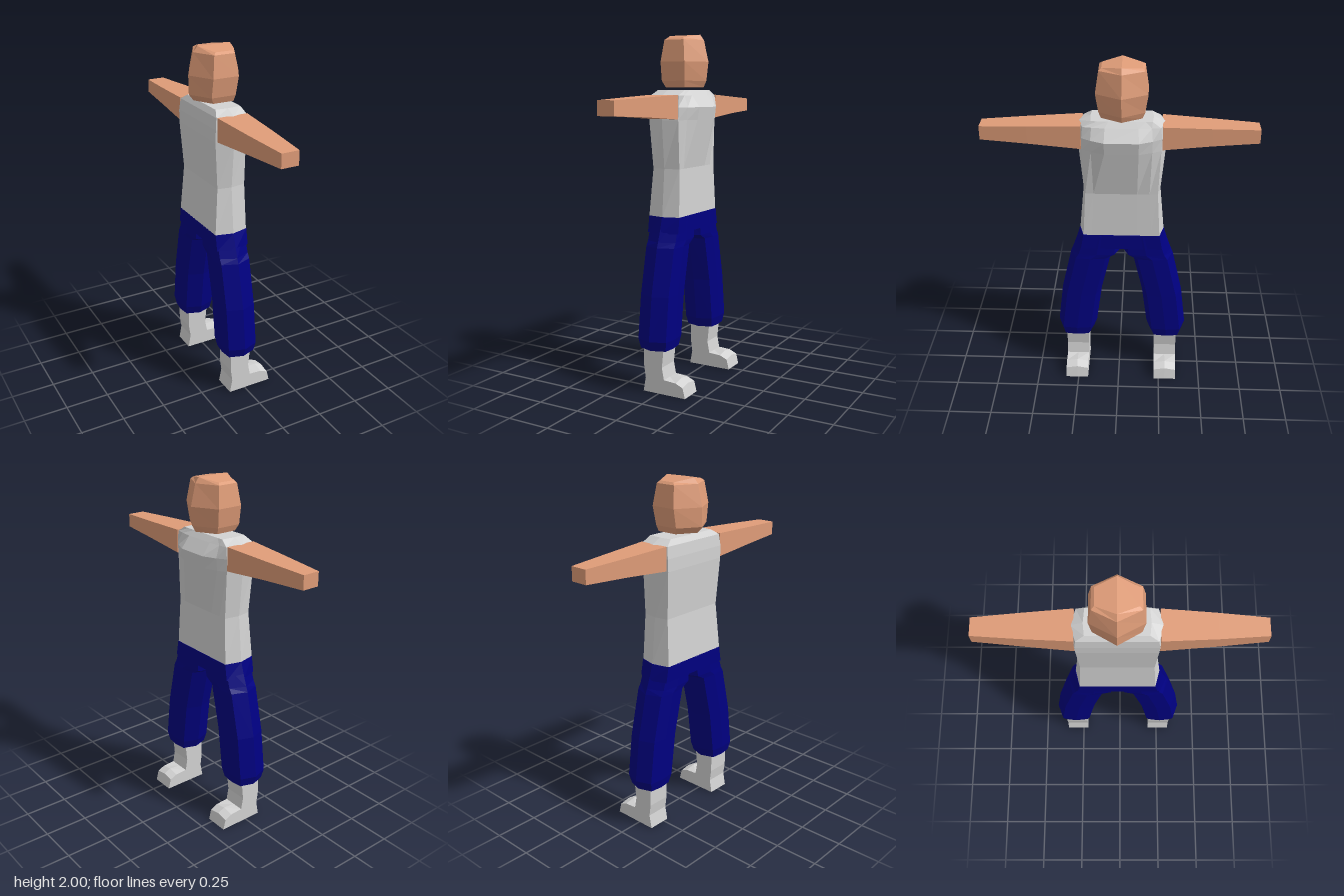
import * as THREE from 'three';

const material = (name, color) => {
  const m = new THREE.MeshStandardMaterial({ color, flatShading: true });
  m.name = name;
  return m;
};

// Solid through rings of equal point count, capped at both ends, facing outward
function loft(rings) {
  const tris = [];
  const n = rings[0].length;
  for (let r = 0; r + 1 < rings.length; r++) {
    for (let i = 0; i < n; i++) {
      const j = (i + 1) % n;
      const [a, b, c, d] = [rings[r][i], rings[r][j], rings[r + 1][j], rings[r + 1][i]];
      tris.push([a, b, c], [a, c, d]);
    }
  }
  const first = rings[0], last = rings[rings.length - 1];
  for (let i = 1; i + 1 < n; i++) {
    tris.push([first[0], first[i + 1], first[i]], [last[0], last[i], last[i + 1]]);
  }
  // Signed volume tells whether the winding must be turned over
  const vec = (p) => new THREE.Vector3(...p);
  let volume = 0;
  for (const [a, b, c] of tris) volume += vec(a).dot(vec(b).cross(vec(c)));
  if (volume < 0) tris.forEach((t) => t.reverse());
  const g = new THREE.BufferGeometry();
  g.setAttribute('position', new THREE.Float32BufferAttribute(tris.flat(2), 3));
  g.computeVertexNormals();
  return g;
}

const BODY_Z = -0.014; // the body sits slightly off the middle of the arm span
const MID_X = -0.03;

// Torso cross-section: back, side ridge, front corner and chest points
function torsoRing([y, back, front, corner, side, chest]) {
  const half = [
    [back, corner * 0.5], [back, corner], [MID_X, side], [front, corner],
    [front + (chest - front) * 0.5, corner * 0.77], [chest, corner * 0.43],
  ];
  const full = [...half, ...half.map(([x, z]) => [x, -z]).reverse()];
  return full.map(([x, z]) => [x, y, z + BODY_Z]);
}

// Eight-sided trouser leg section
function legRing([y, inner, outer, depth], side) {
  const outline = [[1, 0], [0.9, 0.72], [0, 1], [-0.9, 0.72], [-1, 0], [-0.9, -0.72], [0, -1], [0.9, -0.72]];
  const c = (inner + outer) / 2, w = (outer - inner) / 2;
  return outline.map(([x, z]) => [MID_X + x * depth, y, BODY_Z + side * (c + z * w)]);
}

// Four-sided arm section
function armRing([z, x0, x1, y0, y1], side) {
  return [[x0, y0, side * z], [x1, y0, side * z], [x1, y1, side * z], [x0, y1, side * z]];
}

// Boot: side profile pushed across its width, with a slight ridge on the toe
function bootGeometry() {
  const profile = [
    [-0.10, 0], [0.17, 0], [0.155, 0.06], [0.11, 0.08], [0.035, 0.085],
    [0.022, 0.155], [0.035, 0.28], [-0.095, 0.28], [-0.095, 0.15], [-0.085, 0.08],
  ].map((p) => new THREE.Vector2(...p));
  const width = 0.135;
  const g = new THREE.ExtrudeGeometry(new THREE.Shape(profile), { depth: width, steps: 2, bevelEnabled: false });
  g.translate(0, 0, -width / 2);
  const p = g.attributes.position;
  for (let i = 0; i < p.count; i++) {
    if (Math.abs(p.getZ(i)) < 0.01 && p.getX(i) > 0.1 && p.getY(i) > 0.05) p.setY(i, p.getY(i) + 0.012);
  }
  g.computeVertexNormals();
  return g;
}

export function createModel() {
  const skin = material('skin', 0xdf9c78);
  const cloth = material('light grey', 0xd3d3d3);
  const navy = material('navy', 0x000080);
  const model = new THREE.Group();
  model.name = 'figure';
  const add = (name, geometry, mat) => {
    const mesh = new THREE.Mesh(geometry, mat);
    mesh.name = name;
    model.add(mesh);
    return mesh;
  };

  // Head: hexagonal rings of [y, back x, front x, half width, drop at the sides]
  const head = [
    [1.71, -0.145, 0.10, 0.11, 0], [1.745, -0.173, 0.117, 0.124, 0], [1.85, -0.175, 0.13, 0.14, 0],
    [1.97, -0.145, 0.10, 0.122, 0], [2.0, -0.118, 0.077, 0.107, 0.018],
  ].map(([y, x0, x1, w, drop]) => {
    const c = (x0 + x1) / 2, r = (x1 - x0) / 2;
    return [[1, 0], [0.5, 1], [-0.5, 1], [-1, 0], [-0.5, -1], [0.5, -1]]
      .map(([x, z]) => [c + x * r, y - drop * Math.abs(z), BODY_Z + z * w]);
  });
  add('head', loft(head), skin);

  // Shirt: [y, back x, front x, corner z, side z, chest x]
  add('shirt', loft([
    [0.99, -0.13, 0.065, 0.218, 0.243, 0.065],
    [1.26, -0.11, 0.058, 0.203, 0.218, 0.06],
    [1.53, -0.128, 0.058, 0.215, 0.243, 0.112],
    [1.60, -0.127, 0.06, 0.217, 0.243, 0.125],
    [1.665, -0.12, 0.06, 0.21, 0.238, 0.075],
    [1.695, -0.10, 0.05, 0.165, 0.172, 0.05],
  ].map(torsoRing)), cloth);

  // Hips closing the gap between the legs
  add('hips', loft([
    [0.9, -0.129, 0.068, 0.235, 0.272, 0.068],
    [0.992, -0.13, 0.067, 0.219, 0.245, 0.067],
  ].map(torsoRing)), navy);

  for (const side of [1, -1]) {
    const label = side > 0 ? 'Near' : 'Far';

    // Trouser leg: [y, inner z, outer z, half depth]
    add('trouserLeg' + label, loft([
      [0.985, 0, 0.243, 0.098], [0.855, 0, 0.29, 0.1], [0.825, 0.06, 0.302, 0.1],
      [0.56, 0.122, 0.362, 0.1], [0.31, 0.155, 0.392, 0.1], [0.255, 0.175, 0.375, 0.09],
    ].map((r) => legRing(r, side))), navy);

    // Arm: [z, back x, front x, bottom y, top y]
    const shoulder = 0.22 + side * BODY_Z;
    add('arm' + label, loft([
      [shoulder, -0.12, 0.06, 1.535, 1.668],
      [0.5, -0.102, 0.042, 1.554, 1.655],
      [0.76, -0.08, 0.021, 1.565, 1.643],
    ].map((r) => armRing(r, side))), skin);

    add('boot' + label, bootGeometry(), cloth).position.z = BODY_Z + side * 0.273;
  }
  return model;
}
